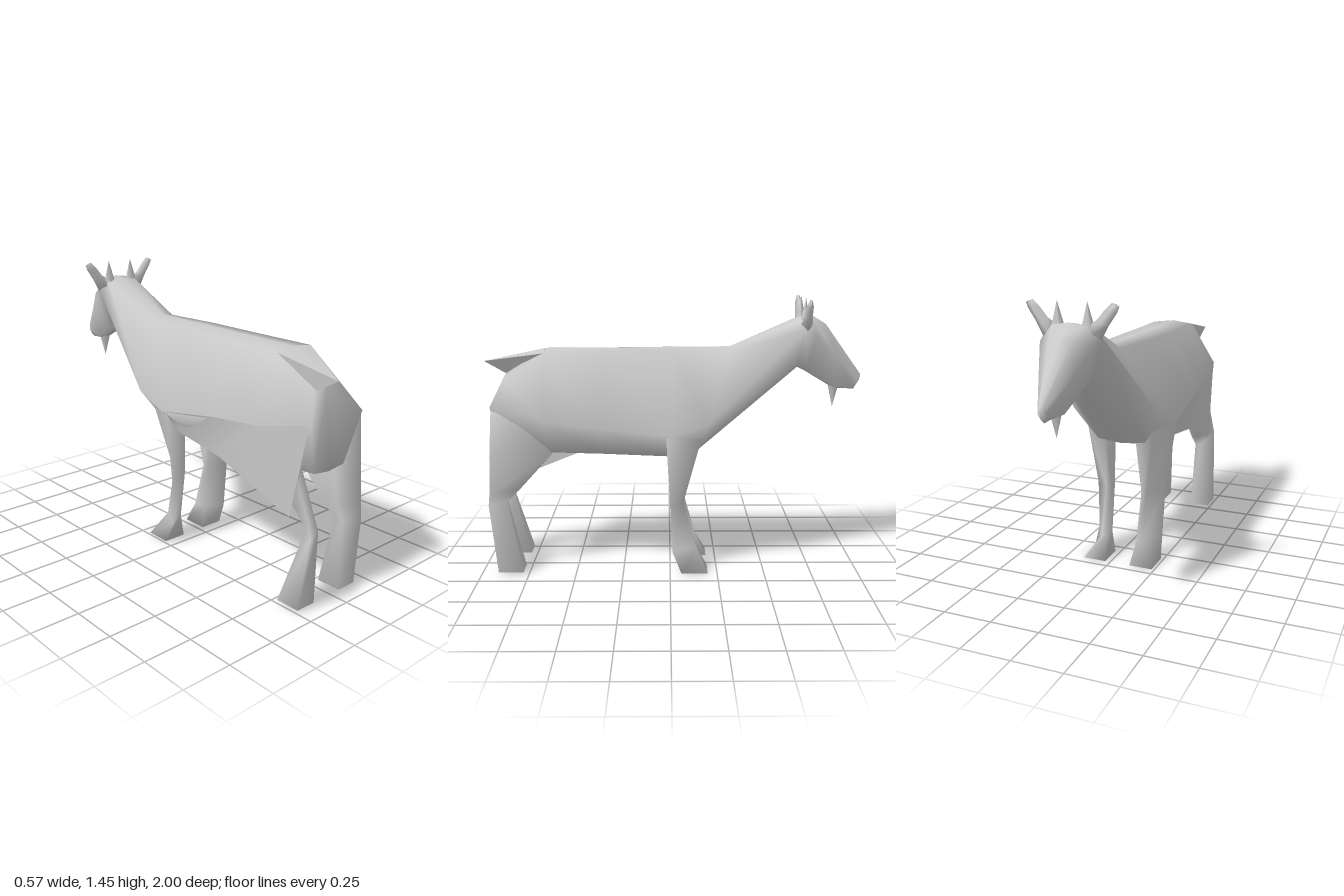
import * as THREE from 'three';
import { toCreasedNormals } from 'three/addons/utils/BufferGeometryUtils.js';
import { ConvexGeometry } from 'three/addons/geometries/ConvexGeometry.js';

const CX = -0.04; // the body's middle line
const material = new THREE.MeshStandardMaterial({ color: 0xcccccc });
const thinMaterial = new THREE.MeshStandardMaterial({ color: 0xcccccc, side: THREE.DoubleSide });

function addMesh(parent, name, geometry, mat = material) {
  const mesh = new THREE.Mesh(geometry, mat);
  mesh.name = name;
  parent.add(mesh);
  return mesh;
}

function smoothSurface(points, index) {
  const geometry = new THREE.BufferGeometry();
  geometry.setAttribute('position', new THREE.Float32BufferAttribute(points.flat(), 3));
  geometry.setIndex(index);
  geometry.computeVertexNormals();
  return geometry;
}

// Skin over a row of equal-sized rings of [x, y, z] points, closed at both ends
function loft(rings) {
  const n = rings[0].length;
  const index = [];
  for (let i = 0; i < rings.length - 1; i++) {
    for (let j = 0; j < n; j++) {
      const a = i * n + j, b = i * n + (j + 1) % n;
      index.push(a, b, b + n, a, b + n, a + n);
    }
  }
  const last = (rings.length - 1) * n;
  for (let j = 1; j < n - 1; j++) {
    index.push(0, j + 1, j, last, last + j, last + j + 1);
  }
  return smoothSurface(rings.flat(), index);
}

// Open sheet between two rows of points
function sheet(upper, lower) {
  const n = upper.length;
  const index = [];
  for (let i = 0; i < n - 1; i++) {
    index.push(i, i + n, i + 1, i + 1, i + n, i + n + 1);
  }
  return smoothSurface([...upper, ...lower], index);
}

// One body section: top, side and bottom as [z, y], side x limits, top and bottom half widths
function section(top, side, bottom, left, right, topHalf, lowHalf) {
  const drop = 0.012;
  return [
    [CX, top[1], top[0]],
    [CX + topHalf, top[1] - drop, top[0]],
    [left, side[1], side[0]],
    [CX + lowHalf, bottom[1] + drop, bottom[0]],
    [CX, bottom[1], bottom[0]],
    [CX - lowHalf, bottom[1] + drop, bottom[0]],
    [right, side[1], side[0]],
    [CX - topHalf, top[1] - drop, top[0]],
  ];
}

// Mirror a ring given for the left side, keeping its faces outward
function forSide(ring, side) {
  const placed = ring.map(([x, y, z]) => [CX + side * x, y, z]);
  return side > 0 ? placed : placed.reverse();
}

// Leg from rows of [y, back z, front z, outer offset, inner offset, fullness];
// a low fullness leaves a thin diagonal section from inner front to outer back
function leg(rows, side) {
  return loft(rows.map(([y, back, front, outer, inner, full]) => forSide([
    [inner, y, front],
    [inner + (outer - inner) * full, y, front],
    [outer, y, back],
    [inner, y, back + (front - back) * (1 - full) * 0.6],
  ], side)));
}

// Ear from rows of [outer offset, outer y, inner offset, inner y, half thickness]
function ear(rows, side) {
  return loft(rows.map(([xo, yo, xi, yi, t]) => {
    const xm = (xo + xi) / 2, ym = (yo + yi) / 2, z = -0.693;
    return forSide([[xo, yo, z], [xm, ym, z - t], [xi, yi, z], [xm, ym, z + t]], side);
  }));
}

export function createModel() {
  const goat = new THREE.Group();
  goat.name = 'goat';

  // Rump, barrel, neck and head in one skin
  addMesh(goat, 'body', loft([
    section([0.86, 1.05], [0.92, 0.9], [0.89, 0.64], 0.14, -0.21, 0.085, 0.1),
    section([0.65, 1.18], [0.64, 0.84], [0.62, 0.64], 0.21, -0.25, 0.115, 0.13),
    section([0.33, 1.182], [0.35, 0.82], [0.35, 0.635], 0.28, -0.275, 0.11, 0.14),
    section([-0.02, 1.187], [0.0, 0.765], [0.0, 0.62], 0.21, -0.29, 0.1, 0.14),
    section([-0.31, 1.19], [-0.2, 0.83], [-0.14, 0.65], 0.2, -0.28, 0.07, 0.13),
    section([-0.67, 1.345], [-0.68, 1.285], [-0.66, 1.085], 0.11, -0.185, 0.09, 0.075),
    section([-0.73, 1.355], [-0.74, 1.265], [-0.71, 1.06], 0.095, -0.175, 0.08, 0.07),
    section([-0.81, 1.305], [-0.85, 1.15], [-0.86, 0.97], 0.045, -0.125, 0.055, 0.04),
    section([-1.0, 1.045], [-0.99, 1.01], [-0.97, 0.965], -0.02, -0.06, 0.012, 0.015),
  ]));

  // Short tail continuing the back
  addMesh(goat, 'tail', toCreasedNormals(new ConvexGeometry([
    [-0.15, 1.168, 0.65], [0.075, 1.168, 0.65], [CX, 1.182, 0.65],
    [-0.13, 1.1, 0.995], [-0.125, 1.03, 0.87],
  ].map((p) => new THREE.Vector3(...p))), 0.6));

  // Loose fold of skin from the right flank down to the hind knee
  addMesh(goat, 'rightFlank', sheet(
    [[-0.29, 0.765, 0], [-0.277, 0.82, 0.35], [-0.252, 0.84, 0.64], [-0.213, 0.9, 0.91]],
    [[-0.21, 0.65, 0], [-0.25, 0.62, 0.37], [-0.222, 0.445, 0.82], [-0.19, 0.65, 0.85]],
  ), thinMaterial);

  for (const side of [1, -1]) {
    const name = side > 0 ? 'left' : 'right';
    const hamstring = side > 0 ? 0.935 : 0.85; // the right thigh is hollow behind

    addMesh(goat, name + 'FrontLeg', leg([
      [0.84, 0.0, -0.17, 0.19, 0.12, 0.8],
      [0.75, 0.02, -0.165, 0.245, 0.08, 0.6],
      [0.37, 0.0, -0.07, 0.195, 0.085, 0.3],
      [0.12, -0.012, -0.14, 0.185, 0.085, 0.3],
      [0.0, -0.06, -0.2, 0.195, 0.07, 1],
    ], side));

    addMesh(goat, name + 'HindLeg', leg([
      [0.9, 0.915, 0.66, 0.175, 0.13, 0.9],
      [0.64, hamstring, 0.62, 0.172, 0.075, 0.6],
      [0.44, 0.942, 0.8, 0.182, 0.08, 0.3],
      [0.375, 0.95, 0.865, 0.18, 0.085, 0.3],
      [0.01, 0.91, 0.78, 0.2, 0.09, 1],
    ], side));

    // Pointed ears growing out of the head's upper corners
    addMesh(goat, name + 'Ear', ear([
      [0.14, 1.28, 0.07, 1.335, 0.03],
      [0.175, 1.345, 0.12, 1.37, 0.022],
      [0.215, 1.405, 0.155, 1.412, 0.018],
      [0.225, 1.43, 0.19, 1.445, 0.008],
    ], side));

    // Small pointed horns
    const horn = addMesh(goat, name + 'Horn', new THREE.ConeGeometry(0.036, 0.12, 5));
    horn.position.set(CX + side * 0.073, 1.385, -0.69);
    horn.scale.z = 0.7;
  }

  // Beard hanging from the chin
  const beard = addMesh(goat, 'beard', new THREE.ConeGeometry(0.03, 0.12, 5));
  beard.position.set(CX, 0.93, -0.86);
  beard.rotation.x = Math.PI;

  return goat;
}
